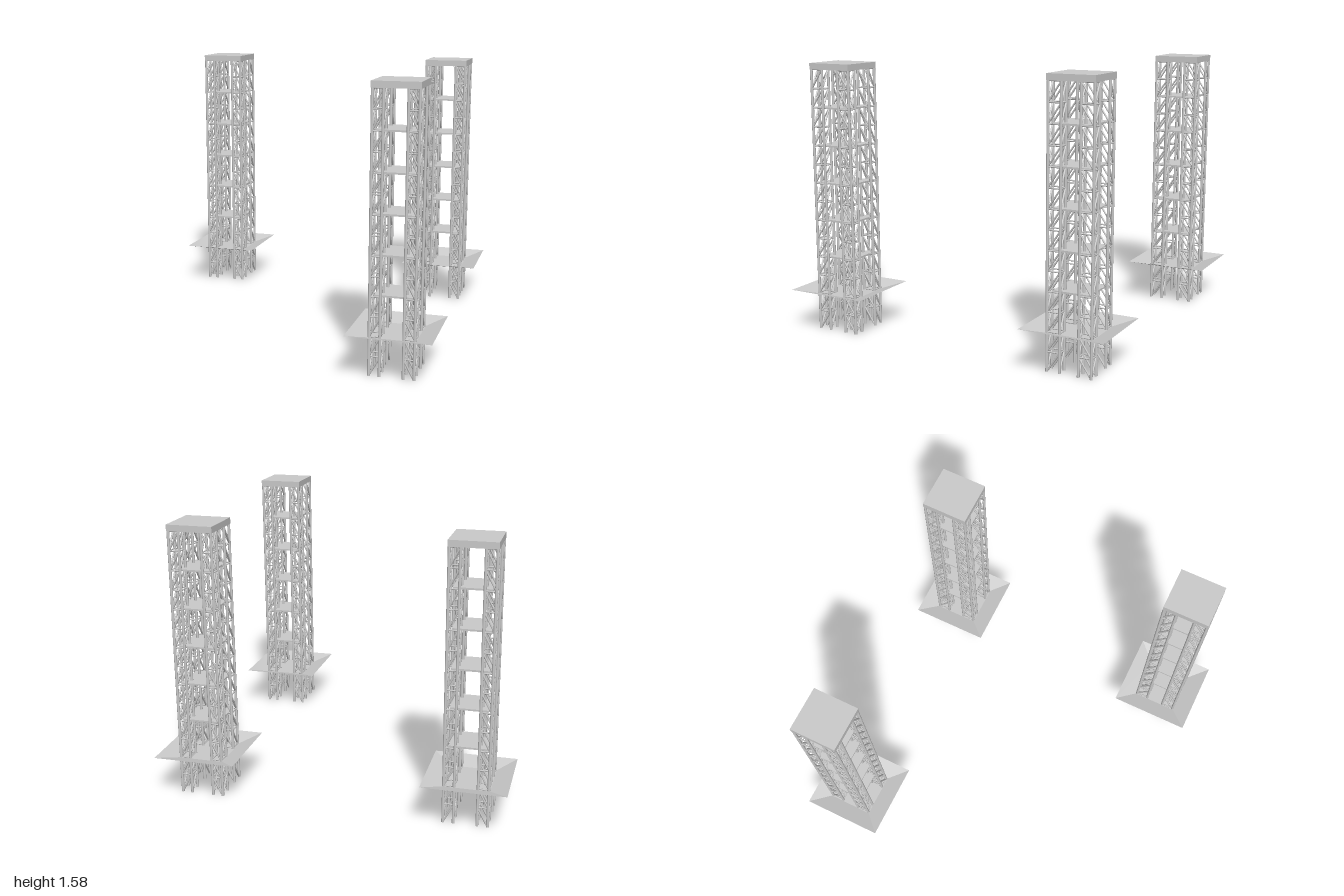
import * as THREE from 'three';
import { mergeGeometries } from 'three/addons/utils/BufferGeometryUtils.js';

const material = new THREE.MeshStandardMaterial({ color: 0xcccccc });
const flatMaterial = new THREE.MeshStandardMaterial({ color: 0xcccccc, flatShading: true, side: THREE.DoubleSide });

const BAY = 0.11, BAYS = 14, TOP = BAY * BAYS;
const OUT = { x: 0.123, z: 0.129 }; // outer post centres
const INN = { x: 0.065, z: 0.055 }; // inner post centres

// Round bar between two points
function bar(a, b, radius, sides = 6) {
  const dir = b.clone().sub(a);
  const g = new THREE.CylinderGeometry(radius, radius, dir.length(), sides);
  g.applyQuaternion(new THREE.Quaternion().setFromUnitVectors(new THREE.Vector3(0, 1, 0), dir.normalize()));
  const m = a.clone().add(b).multiplyScalar(0.5);
  return g.translate(m.x, m.y, m.z);
}

// Four-post lattice column for one corner of a tower
function latticeColumn(sx, sz) {
  const at = (x, y, z) => new THREE.Vector3(sx * x, y, sz * z);
  const parts = [];
  for (const x of [OUT.x, INN.x])
    for (const z of [OUT.z, INN.z])
      parts.push(bar(at(x, 0, z), at(x, TOP, z), 0.008, 10));
  for (let i = 0; i < BAYS; i++) {
    const y0 = i * BAY, y1 = y0 + BAY;
    for (const z of [OUT.z, INN.z]) {
      parts.push(bar(at(OUT.x, y0, z), at(INN.x, y1, z), 0.005));
      parts.push(bar(at(OUT.x, y1, z), at(INN.x, y1, z), 0.004));
    }
    for (const x of [OUT.x, INN.x]) {
      parts.push(bar(at(x, y0, OUT.z), at(x, y1, INN.z), 0.005));
      parts.push(bar(at(x, y1, OUT.z), at(x, y1, INN.z), 0.004));
    }
  }
  const mesh = new THREE.Mesh(mergeGeometries(parts), material);
  mesh.name = 'latticeColumn';
  return mesh;
}

function slab(name, w, h, d, y) {
  const mesh = new THREE.Mesh(new THREE.BoxGeometry(w, h, d), material);
  mesh.position.y = y;
  mesh.name = name;
  return mesh;
}

// Shallow flared tray around the base
function flaredTray() {
  const tray = new THREE.Group();
  tray.name = 'flaredTray';
  const rim = new THREE.CylinderGeometry(Math.SQRT2, 0.557 * Math.SQRT2, 0.032, 4, 1, true);
  rim.rotateY(Math.PI / 4).scale(0.235, 1, 0.245).translate(0, 0.232, 0);
  const slopes = new THREE.Mesh(rim, flatMaterial);
  slopes.name = 'traySlopes';
  const base = new THREE.Mesh(new THREE.PlaneGeometry(0.262, 0.273).rotateX(-Math.PI / 2), flatMaterial);
  base.position.y = 0.216;
  base.name = 'trayBase';
  tray.add(slopes, base);
  return tray;
}

function tower() {
  const g = new THREE.Group();
  g.name = 'tower';
  for (const sx of [-1, 1]) for (const sz of [-1, 1]) g.add(latticeColumn(sx, sz));
  // Landings every second bay
  for (let i = 4; i < BAYS; i += 2) g.add(slab('landing', 0.21, 0.01, 0.21, i * BAY));
  g.add(slab('roof', 0.262, 0.036, 0.272, TOP + 0.018));
  g.add(flaredTray());
  return g;
}

export function createModel() {
  const model = new THREE.Group();
  model.name = 'latticeTowers';
  // Three towers on three corners of a square
  for (const [x, z] of [[-0.765, -0.755], [0.765, -0.755], [0.765, 0.755]]) {
    const t = tower();
    t.position.set(x, 0, z);
    model.add(t);
  }
  return model;
}
